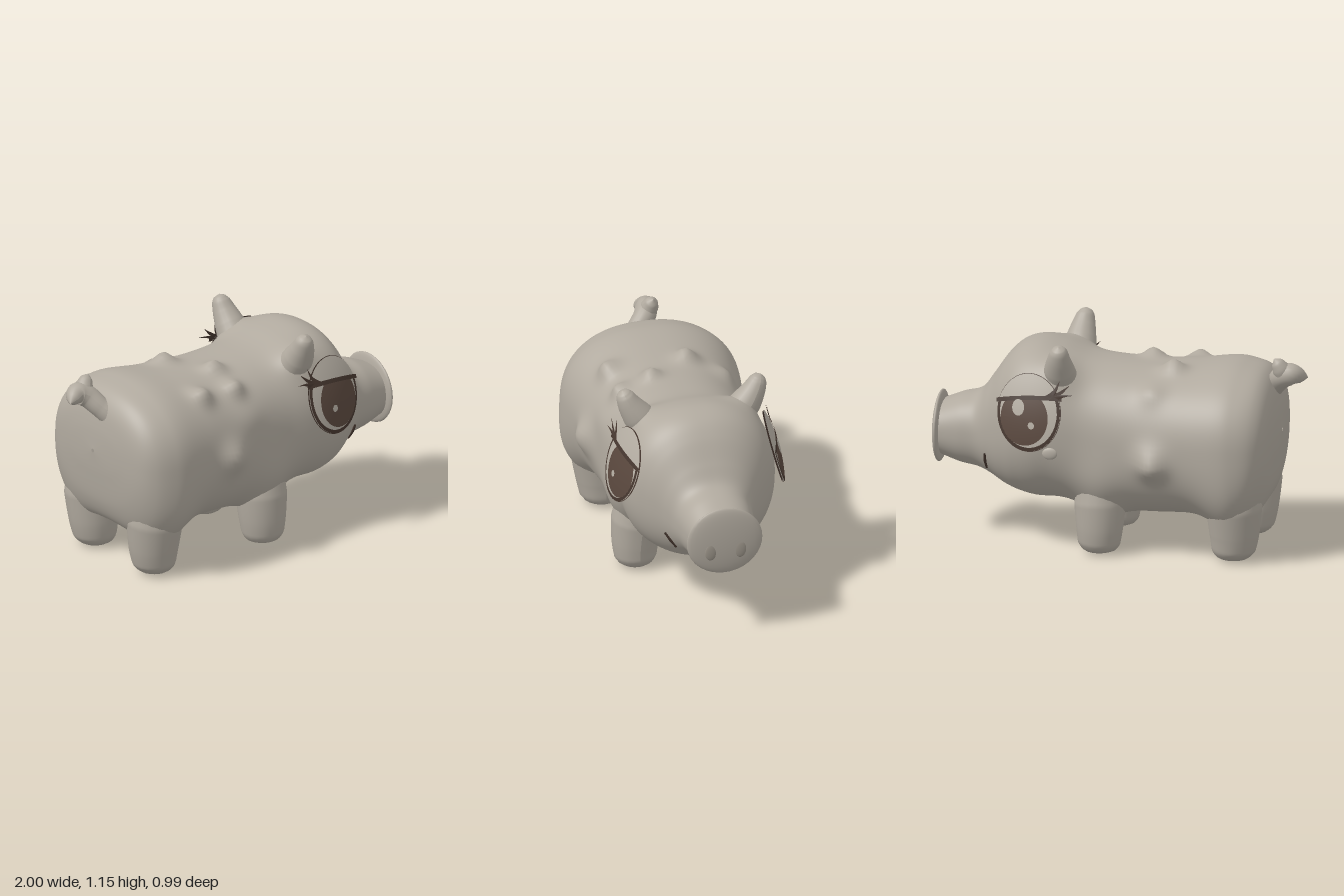
import * as THREE from 'three';

const mat = (name, color) => {
  const m = new THREE.MeshStandardMaterial({ color, side: THREE.DoubleSide });
  m.name = name;
  return m;
};

export function createModel() {
  const root = new THREE.Group();
  root.name = 'pig';
  const skin = mat('taupe skin', 0xb1aa9f);
  const nostrilMat = mat('nostril taupe', 0x9c958a);
  const eyeMat = mat('pale eye', 0xb5aea3);
  const irisMat = mat('brown iris', 0x5a483e);
  const rimMat = mat('dark rim', 0x46372f);

  const add = (name, geo, material, parent = root) => {
    const m = new THREE.Mesh(geo, material);
    m.name = name;
    parent.add(m);
    return m;
  };

  // Scaled sphere
  const blob = (name, x, y, z, sx, sy, sz, material = skin) => {
    const m = add(name, new THREE.SphereGeometry(1, 28, 18), material);
    m.position.set(x, y, z);
    m.scale.set(sx, sy, sz);
  };

  // Tube along points [x, y, z, radius] with changing thickness
  const sweep = (name, pts, material = skin, segs = 36, sides = 20) => {
    const curve = new THREE.CatmullRomCurve3(pts.map(p => new THREE.Vector3(p[0], p[1], p[2])));
    const geo = new THREE.TubeGeometry(curve, segs, 1, sides, false);
    const pos = geo.attributes.position, v = new THREE.Vector3();
    for (let i = 0; i <= segs; i++) {
      const c = curve.getPointAt(i / segs);
      const f = curve.getUtoTmapping(i / segs) * (pts.length - 1);
      const k = Math.min(Math.floor(f), pts.length - 2);
      const r = THREE.MathUtils.lerp(pts[k][3], pts[k + 1][3], f - k);
      for (let j = 0; j <= sides; j++) {
        const n = i * (sides + 1) + j;
        v.fromBufferAttribute(pos, n).sub(c).multiplyScalar(r).add(c);
        pos.setXYZ(n, v.x, v.y, v.z);
      }
    }
    geo.computeVertexNormals();
    add(name, geo, material);
  };

  // Body, head and snout: sections of x, bottom, top, half width
  const sections = [
    [-0.86, 0.65, 0.67, 0.01], [-0.85, 0.52, 0.8, 0.22], [-0.825, 0.36, 0.91, 0.355],
    [-0.77, 0.26, 0.98, 0.43], [-0.68, 0.23, 1.01, 0.47], [-0.58, 0.22, 1.02, 0.48],
    [-0.4, 0.21, 1.0, 0.455], [-0.2, 0.2, 0.99, 0.425], [0, 0.21, 1.0, 0.4],
    [0.15, 0.24, 1.02, 0.39], [0.3, 0.25, 1.07, 0.405], [0.42, 0.25, 1.09, 0.41],
    [0.52, 0.27, 1.065, 0.38], [0.6, 0.3, 0.995, 0.325], [0.68, 0.345, 0.88, 0.255],
    [0.75, 0.375, 0.79, 0.21], [0.85, 0.395, 0.76, 0.192], [0.95, 0.43, 0.72, 0.17],
  ];
  // Swellings of the skin: centre, push, radius
  const swell = [
    [-0.26, 0.61, 0.42, 0, 0, 0.058, 0.085], [-0.11, 0.8, 0.38, 0, 0, 0.015, 0.1],
    [-0.24, 0.56, -0.42, 0, -0.02, -0.07, 0.085], [-0.3, 0.99, -0.12, 0, 0.06, 0, 0.06],
    [-0.15, 0.99, 0.12, 0, 0.055, 0, 0.055], [-0.36, 0.93, 0.28, 0, 0.045, 0.035, 0.06],
    [-0.14, 0.92, 0.27, 0, 0.04, 0.035, 0.055], [-0.22, 0.9, -0.3, 0, 0.02, -0.02, 0.07],
  ];
  for (const s of [1, -1]) {
    swell.push([0.07, 0.26, s * 0.25, 0, -0.08, 0, 0.13], [0.07, 0.4, s * 0.36, 0, -0.02, s * 0.03, 0.14],
      [-0.65, 0.28, s * 0.28, 0, -0.08, 0, 0.15], [-0.65, 0.38, s * 0.4, 0, -0.04, s * 0.035, 0.16],
      [0.275, 0.98, s * 0.27, 0, 0.035, s * 0.03, 0.1]);
  }
  const spline = pick => new THREE.CatmullRomCurve3(
    sections.map(q => new THREE.Vector3(...pick(q))), false, 'catmullrom', 0.5);
  const outline = spline(q => [q[0], q[1], q[2]]), widths = spline(q => [q[0], q[3], 0]);
  const rings = 150, sides = 112, verts = [], index = [];
  const round = t => Math.sign(t) * Math.abs(t) ** (2 / 2.3);
  for (let i = 0; i <= rings; i++) {
    const { x, y: lo, z: hi } = outline.getPoint(i / rings);
    const w = widths.getPoint(i / rings).y;
    for (let j = 0; j < sides; j++) {
      const a = j / sides * Math.PI * 2;
      const y = (lo + hi) / 2 + (hi - lo) / 2 * round(Math.sin(a)), z = w * round(Math.cos(a));
      const p = [x, y, z];
      for (const [cx, cy, cz, dx, dy, dz, r] of swell) {
        const f = Math.exp(-((x - cx) ** 2 + (y - cy) ** 2 + (z - cz) ** 2) / (r * r));
        p[0] += f * dx; p[1] += f * dy; p[2] += f * dz;
      }
      verts.push(...p);
      if (i < rings) {
        const m = i * sides + j, n = i * sides + (j + 1) % sides;
        index.push(m, m + sides, n, n, m + sides, n + sides);
      }
    }
  }
  const bodyGeo = new THREE.BufferGeometry();
  bodyGeo.setAttribute('position', new THREE.Float32BufferAttribute(verts, 3));
  bodyGeo.setIndex(index);
  bodyGeo.computeVertexNormals();
  add('body', bodyGeo, skin);
  blob('snoutDisc', 0.967, 0.575, 0, 0.029, 0.19, 0.205);

  for (const s of [1, -1]) {
    blob('nostril', 0.989, 0.525, s * 0.08, 0.008, 0.048, 0.032, nostrilMat);
    sweep('mouthCorner', [[0.685, 0.505, s * 0.25, 0.006], [0.688, 0.46, s * 0.222, 0.008],
      [0.685, 0.415, s * 0.19, 0.006]], rimMat, 6, 6);
    sweep('frontLeg', [[0.075, 0.42, s * 0.225, 0.12], [0.067, 0.27, s * 0.245, 0.137],
      [0.067, 0.14, s * 0.255, 0.124], [0.07, 0.06, s * 0.255, 0.112],
      [0.072, 0.022, s * 0.255, 0.085], [0.072, 0.008, s * 0.255, 0]]);
    sweep('hindLeg', [[-0.65, 0.44, s * 0.275, 0.13], [-0.655, 0.3, s * 0.268, 0.15],
      [-0.655, 0.15, s * 0.258, 0.132], [-0.65, 0.06, s * 0.255, 0.115],
      [-0.65, 0.022, s * 0.255, 0.085], [-0.65, 0.008, s * 0.255, 0]]);
    sweep('ear', [[0.275, 0.95, s * 0.255, 0.09], [0.275, 1.01, s * 0.3, 0.08],
      [0.27, 1.07, s * 0.338, 0.063], [0.265, 1.12, s * 0.362, 0.047], [0.265, 1.142, s * 0.371, 0.03],
      [0.265, 1.152, s * 0.376, 0]]);
    buildEye(s);
  }

  // Curled tail with an upper point
  sweep('tail', [[-0.75, 0.83, 0.08, 0.07], [-0.82, 0.9, 0.02, 0.055], [-0.87, 0.96, -0.04, 0.06],
    [-0.92, 0.98, -0.055, 0.06], [-0.97, 0.965, -0.03, 0.035], [-1.0, 0.953, -0.01, 0]]);
  sweep('tailPoint', [[-0.885, 0.96, -0.05, 0.05], [-0.865, 1.01, -0.065, 0.047],
    [-0.845, 1.045, -0.072, 0.032], [-0.83, 1.065, -0.075, 0]], skin, 16);
  return root;

  // Domed eye on a sloping plane; s is the side of the head
  function buildEye(s) {
    const eye = new THREE.Group();
    eye.name = s > 0 ? 'rightEye' : 'leftEye';
    root.add(eye);
    const A = 0.173, B = 0.197;
    const lashLine = u => 0.075 - 0.1 * u - 0.3 * u * u;
    const bend = (name, geo, lift, material, rule = (u, v) => v, depth = 0.022) => {
      const p = geo.attributes.position;
      for (let i = 0; i < p.count; i++) {
        const u = p.getX(i), v = rule(u, p.getY(i));
        const w = lift + depth * Math.max(0, 1 - (u / A) ** 2 - (v / B) ** 2);
        p.setXYZ(i, 0.415 + u + 0.2 * w, 0.796 + v + 0.25 * w, s * (0.41 - 0.17 * u - 0.27 * v + w));
      }
      geo.computeVertexNormals();
      add(name, geo, material, eye);
    };
    const oval = (cx, cy, rx, ry, inner = 0) =>
      new THREE.RingGeometry(inner, 1, 40, inner ? 2 : 8).scale(rx, ry, 1).translate(cx, cy, 0);
    const below = (u, v) => Math.min(v, lashLine(u));
    const above = (u, v) => Math.max(v, lashLine(u));

    bend('eyeBack', oval(0, 0, A, B), -0.008, rimMat, undefined, 0);
    bend('eyeEdge', oval(0, 0, A + 0.003, B + 0.003, 0.97), -0.002, rimMat);
    bend('eyeWhite', oval(0, 0, A, B), 0, eyeMat);
    bend('eyelid', oval(0, 0, A, B), 0.003, eyeMat, above);
    bend('eyeRim', oval(0, 0, A, B, 0.91), 0.004, rimMat, below);
    bend('iris', oval(0.02, -0.03, 0.132, 0.14), 0.004, irisMat, below);
    bend('glint', oval(-0.025, -0.065, 0.017, 0.018), 0.008, eyeMat);
    if (s < 0) {
      bend('largeGlint', oval(0.05, 0.022, 0.034, 0.042), 0.008, eyeMat, below);
      blob('cheekSpot', 0.305, 0.575, -0.408, 0.04, 0.032, 0.012, eyeMat);
    }
    bend('lashBar', new THREE.PlaneGeometry(0.36, 0.022, 24, 1), 0.008, rimMat, (u, v) => v + lashLine(u));
    // Upper lashes
    for (const [bu, bv, tu, tv] of [[-0.15, 0.085, -0.25, 0.108], [-0.13, 0.085, -0.222, 0.16],
      [-0.105, 0.083, -0.165, 0.18]]) {
      const lash = new THREE.Shape();
      lash.moveTo(bu - 0.014, bv - 0.004);
      lash.quadraticCurveTo(bu - 0.05, bv + 0.02, tu, tv);
      lash.quadraticCurveTo(bu - 0.03, bv + 0.03, bu + 0.018, bv + 0.008);
      bend('lash', new THREE.ShapeGeometry(lash, 6), 0.01, rimMat);
    }
  }
}
